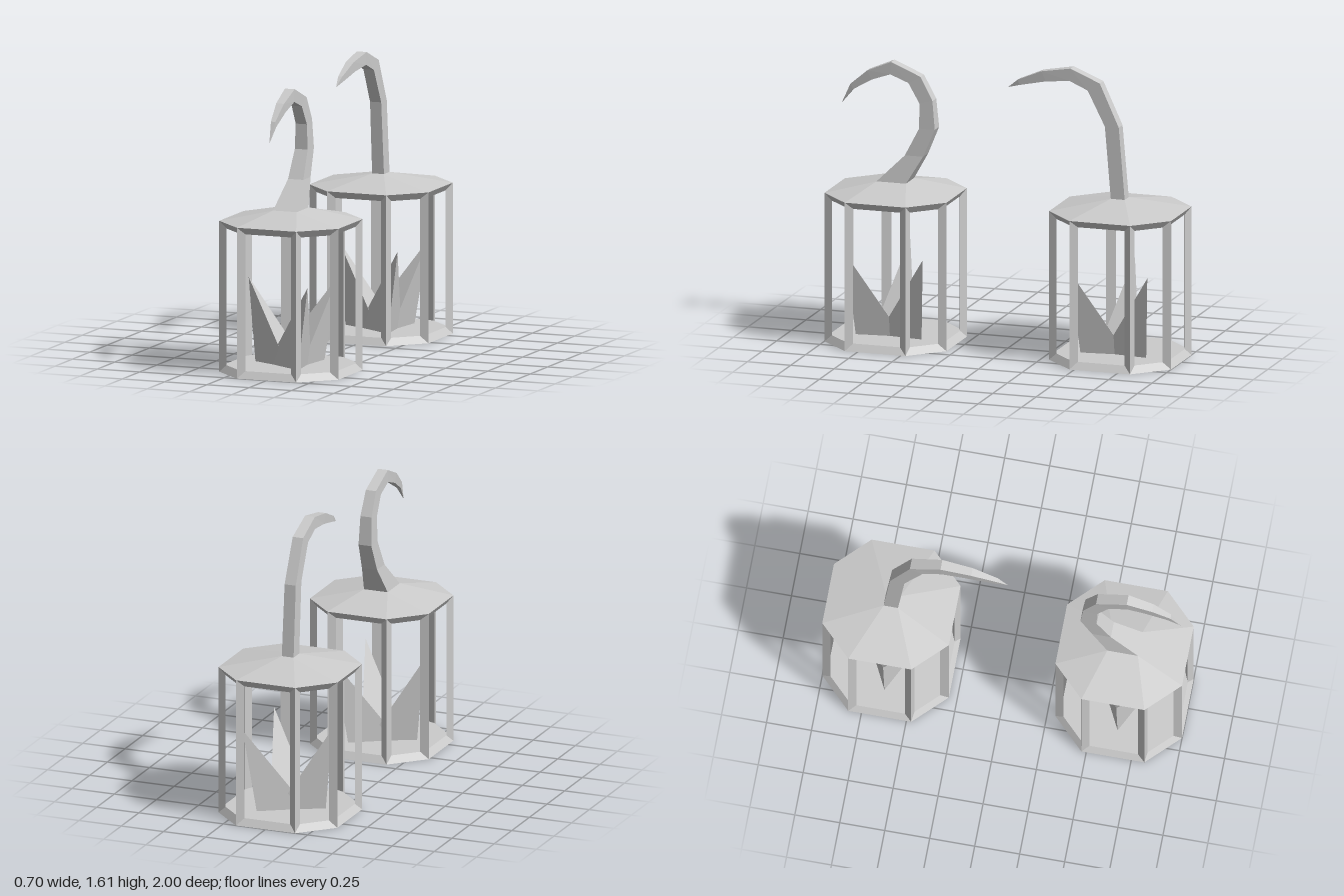
import * as THREE from 'three';

const material = new THREE.MeshStandardMaterial({ color: 0xcccccc, flatShading: true });

// Flat-shaded mesh from convex polygons (corners counter-clockwise from outside)
function polyMesh(name, polygons) {
  const pos = [];
  for (const p of polygons)
    for (let i = 1; i < p.length - 1; i++) pos.push(...p[0], ...p[i], ...p[i + 1]);
  const g = new THREE.BufferGeometry();
  g.setAttribute('position', new THREE.Float32BufferAttribute(pos, 3));
  g.computeVertexNormals();
  const mesh = new THREE.Mesh(g, material);
  mesh.name = name;
  return mesh;
}

// Octagon corners [x, z], running front -> right side -> back
const L = 0.352, S = 0.175;
const octagon = [[-S, L], [S, L], [L, S], [L, -S], [S, -L], [-S, -L], [-L, -S], [-L, S]];
const EAVE = 0.836, ROOF = 0.897, FLOOR = 0.04, CEILING = 0.798;
const at = ([x, z], y) => [x, y, z];

// Eight windows with bevelled reveals, post backs, floor, ceiling and underside
function cage() {
  const inset = 0.04, depth = 0.026;
  const sides = octagon.map((a, i) => {
    const b = octagon[(i + 1) % 8];
    const len = Math.hypot(b[0] - a[0], b[1] - a[1]);
    const tx = (b[0] - a[0]) / len, tz = (b[1] - a[1]) / len;
    const nx = -tz, nz = tx;
    return {
      a, b,
      A: [a[0] + tx * inset - nx * depth, a[1] + tz * inset - nz * depth],
      B: [b[0] - tx * inset - nx * depth, b[1] - tz * inset - nz * depth],
    };
  });
  const faces = [];
  sides.forEach(({ a, b, A, B }, i) => {
    const outer = [at(a, 0), at(b, 0), at(b, EAVE), at(a, EAVE)];
    const inner = [at(A, FLOOR), at(B, FLOOR), at(B, CEILING), at(A, CEILING)];
    for (let k = 0; k < 4; k++) {
      const n = (k + 1) % 4;
      faces.push([outer[k], outer[n], inner[n], inner[k]]);
    }
    const next = sides[(i + 1) % 8].A;
    faces.push([at(B, CEILING), at(next, CEILING), at(next, FLOOR), at(B, FLOOR)]);
  });
  const ring = sides.flatMap(({ A, B }) => [A, B]);
  faces.push(ring.map(p => at(p, FLOOR)));
  faces.push(ring.map(p => at(p, CEILING)).reverse());
  faces.push(octagon.map(p => at(p, 0)).reverse());
  return polyMesh('cage', faces);
}

// Shallow roof from the octagon up to the foot of the hook
function roof(foot) {
  return polyMesh('roof', octagon.map((p, i) => {
    const j = (i + 1) % 8;
    const q0 = foot[Math.floor((i + 1) / 2) % 4], q1 = foot[Math.floor((j + 1) / 2) % 4];
    const face = [at(p, EAVE), at(octagon[j], EAVE), q1];
    if (i % 2 === 0) face.push(q0);
    return face;
  }));
}

// Curved hook through rectangular sections
function hook(rings) {
  const faces = [];
  for (let i = 0; i < rings.length - 1; i++) {
    const r = rings[i], s = rings[i + 1], last = i === rings.length - 2;
    for (let j = 0; j < 4; j++) {
      const n = (j + 1) % 4;
      faces.push(last ? [r[j], r[n], s[0]] : [r[j], r[n], s[n], s[j]]);
    }
  }
  return polyMesh('hook', faces);
}

// Three-sided spike leaning outwards
function spike(base, apex) {
  return polyMesh('crystalSpike', base.map((p, i) => [at(p, FLOOR), at(base[(i + 1) % 3], FLOOR), apex]));
}

function crystals() {
  const g = new THREE.Group();
  g.name = 'crystals';
  g.add(spike([[-0.21, 0], [0.03, 0.12], [0.03, -0.12]], [-0.25, 0.505, 0]));
  const base = [[0.12, 0.19], [0.09, -0.07], [-0.12, 0.04]];
  g.add(spike(base, [0.19, 0.505, 0.225]));
  g.add(spike(base.map(([x, z]) => [x, -z]).reverse(), [0.19, 0.505, -0.22]));
  return g;
}

// sections: [half width, inner-edge z, inner-edge y, outer-edge z, outer-edge y]
function lantern(name, z, sections) {
  const rings = sections.map(([w, fz, fy, bz, by]) =>
    [[-w, fy, fz - z], [w, fy, fz - z], [w, by, bz - z], [-w, by, bz - z]]);
  const g = new THREE.Group();
  g.name = name;
  g.add(cage(), roof(rings[0]), hook(rings), crystals());
  g.position.z = z;
  return g;
}

export function createModel() {
  const model = new THREE.Group();
  model.name = 'lanterns';
  model.add(lantern('frontLantern', 0.648, [
    [0.07, 0.735, ROOF, 0.565, ROOF],
    [0.045, 0.58, 1.05, 0.475, 1.05],
    [0.038, 0.5, 1.205, 0.41, 1.205],
    [0.033, 0.5, 1.345, 0.425, 1.365],
    [0.03, 0.565, 1.455, 0.495, 1.495],
    [0.029, 0.67, 1.495, 0.665, 1.565],
    [0.023, 0.78, 1.455, 0.805, 1.505],
    [0.013, 0.89, 1.39, 0.905, 1.42],
    [0, 0.96, 1.305, 0.96, 1.305],
  ]));
  model.add(lantern('backLantern', -0.648, [
    [0.035, -0.605, ROOF, -0.685, ROOF],
    [0.033, -0.57, 1.3, -0.65, 1.3],
    [0.031, -0.47, 1.495, -0.54, 1.54],
    [0.029, -0.365, 1.54, -0.37, 1.61],
    [0.023, -0.225, 1.525, -0.2, 1.58],
    [0.012, -0.07, 1.49, -0.06, 1.52],
    [0, 0, 1.47, 0, 1.47],
  ]));
  return model;
}
